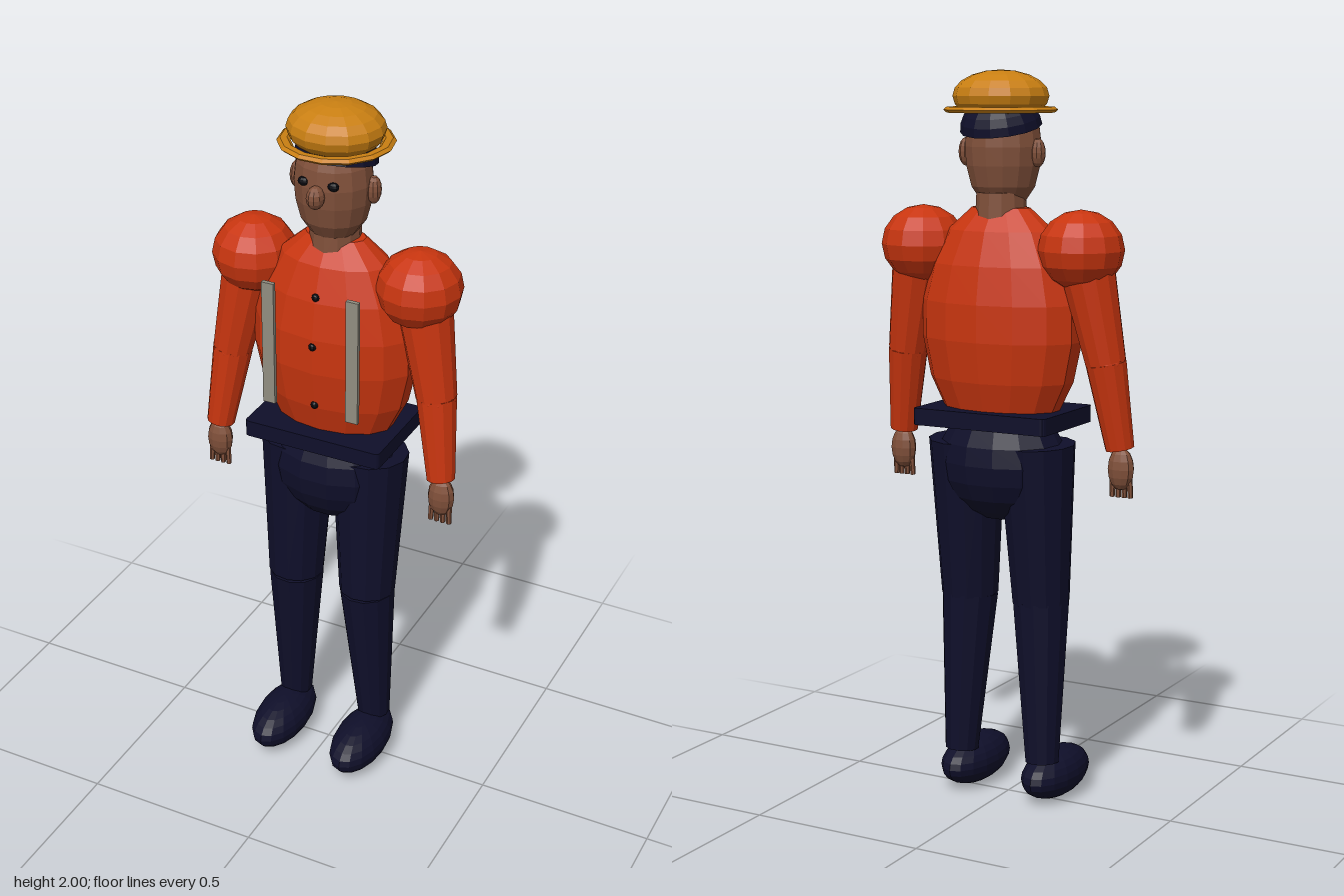
import * as THREE from 'three';

const mat = (name, color) => {
  const m = new THREE.MeshStandardMaterial({ color, flatShading: true });
  m.name = name;
  return m;
};

export function createModel() {
  const red = mat('red shirt', 0xc8350f);
  const navy = mat('navy cloth', 0x0f0f2a);
  const skin = mat('brown skin', 0x80503a);
  const yellow = mat('yellow hat', 0xc97f12);
  const grey = mat('grey strap', 0x918d80);
  const dark = mat('dark detail', 0x08080f);

  const root = new THREE.Group();
  root.name = 'worker';

  const add = (name, geo, material, x = 0, y = 0, z = 0) => {
    const m = new THREE.Mesh(geo, material);
    m.name = name;
    m.position.set(x, y, z);
    root.add(m);
    return m;
  };
  const ball = (name, material, p, r, w = 12, h = 8) =>
    add(name, new THREE.SphereGeometry(1, w, h).scale(...r), material, ...p);
  // Tapered limb between two points
  const limb = (name, material, a, b, ra, rb, n = 12) => {
    const A = new THREE.Vector3(...a), B = new THREE.Vector3(...b);
    const d = B.clone().sub(A);
    const m = add(name, new THREE.CylinderGeometry(rb, ra, d.length(), n), material);
    m.position.copy(A).add(B).multiplyScalar(0.5);
    m.quaternion.setFromUnitVectors(new THREE.Vector3(0, 1, 0), d.normalize());
    return m;
  };

  // Shirt body: barrel profile flattened front to back
  const profile = [[0, 1.09], [0.165, 1.09], [0.21, 1.18], [0.234, 1.29], [0.232, 1.39],
    [0.205, 1.49], [0.155, 1.58], [0.085, 1.64], [0, 1.645]];
  const torso = new THREE.LatheGeometry(profile.map(p => new THREE.Vector2(...p)), 14);
  add('shirt', torso.scale(1, 1, 0.59), red, 0, 0, -0.04);
  [[1.505, 0.076], [1.37, 0.096], [1.19, 0.085]].forEach(([y, z]) =>
    ball('button', dark, [0, y, z], [0.011, 0.011, 0.009], 8, 6));

  // Belt plate with rounded corners, and hips
  const s = new THREE.Shape();
  const w = 0.2, d = 0.141, r = 0.012;
  s.moveTo(-w + r, -d);
  s.lineTo(w - r, -d); s.quadraticCurveTo(w, -d, w, -d + r);
  s.lineTo(w, d - r); s.quadraticCurveTo(w, d, w - r, d);
  s.lineTo(-w + r, d); s.quadraticCurveTo(-w, d, -w, d - r);
  s.lineTo(-w, -d + r); s.quadraticCurveTo(-w, -d, -w + r, -d);
  const belt = new THREE.ExtrudeGeometry(s, { depth: 0.046, bevelEnabled: false, curveSegments: 3 });
  add('belt', belt.rotateX(-Math.PI / 2), navy, 0, 1.056, -0.032);
  ball('hips', navy, [0, 0.955, -0.035], [0.185, 0.165, 0.135], 14, 10);

  // Head, neck and face
  limb('neck', skin, [0, 1.6, -0.04], [0, 1.68, -0.04], 0.07, 0.066);
  const headPts = [[0, 1.657], [0.062, 1.657], [0.088, 1.695], [0.102, 1.75],
    [0.106, 1.8], [0.1, 1.85], [0.08, 1.9], [0, 1.92]];
  const head = new THREE.LatheGeometry(headPts.map(p => new THREE.Vector2(...p)), 14);
  add('head', head.scale(1, 1, 0.92), skin, 0, 0, -0.028);
  ball('nose', skin, [0, 1.785, 0.074], [0.024, 0.031, 0.027], 10, 8);

  // Hair: tilted half dome, lower at the back
  const hair = new THREE.SphereGeometry(1, 14, 6, 0, Math.PI * 2, 0, Math.PI / 2).scale(0.11, 0.09, 0.107);
  const cap = new THREE.CircleGeometry(1, 14).rotateX(Math.PI / 2).scale(0.11, 1, 0.107);
  for (const g of [hair, cap]) add('hair', g, navy, 0, 1.848, -0.04).rotation.x = -0.24;

  // Hard hat
  ball('hatDome', yellow, [0, 1.932, -0.042], [0.13, 0.068, 0.121], 14, 10);
  const brim = new THREE.TorusGeometry(0.134, 0.018, 6, 14).rotateX(Math.PI / 2).scale(1, 0.5, 1);
  add('hatBrim', brim, yellow, 0, 1.896, -0.043);

  // Mirrored parts
  for (const k of [1, -1]) {
    const side = k > 0 ? 'left' : 'right';
    ball(side + 'Eye', dark, [k * 0.042, 1.816, 0.058], [0.016, 0.012, 0.011], 10, 6);
    ball(side + 'Ear', skin, [k * 0.109, 1.785, -0.037], [0.02, 0.038, 0.021], 10, 8);
    add(side + 'Suspender', new THREE.BoxGeometry(0.035, 0.355, 0.012), grey, k * 0.122, 1.358, 0.106);

    // Arm
    ball(side + 'Shoulder', red, [k * 0.24, 1.535, -0.042], [0.115, 0.106, 0.115]);
    limb(side + 'UpperArm', red, [k * 0.255, 1.5, -0.04], [k * 0.305, 1.24, -0.022], 0.075, 0.055);
    ball(side + 'Elbow', red, [k * 0.305, 1.24, -0.022], [0.054, 0.054, 0.054]);
    limb(side + 'Forearm', red, [k * 0.305, 1.24, -0.022], [k * 0.336, 1.01, 0.003], 0.055, 0.039);

    // Hand with four fingers
    ball(side + 'Palm', skin, [k * 0.339, 0.955, 0.004], [0.038, 0.058, 0.028], 10, 8);
    for (let i = 0; i < 4; i++) {
      const f = i - 1.5;
      limb(side + 'Finger', skin, [k * 0.339 + f * 0.016, 0.94, 0.006],
        [k * 0.339 + f * 0.018, 0.877, 0.008], 0.009, 0.007, 6);
    }

    // Leg and shoe
    limb(side + 'Thigh', navy, [k * 0.108, 1.01, -0.038], [k * 0.112, 0.57, -0.018], 0.106, 0.079);
    limb(side + 'Shin', navy, [k * 0.112, 0.57, -0.018], [k * 0.128, 0.12, -0.04], 0.079, 0.047);
    ball(side + 'Shoe', navy, [k * 0.128, 0.068, 0.04], [0.074, 0.068, 0.15], 16, 12);
  }
  return root;
}
